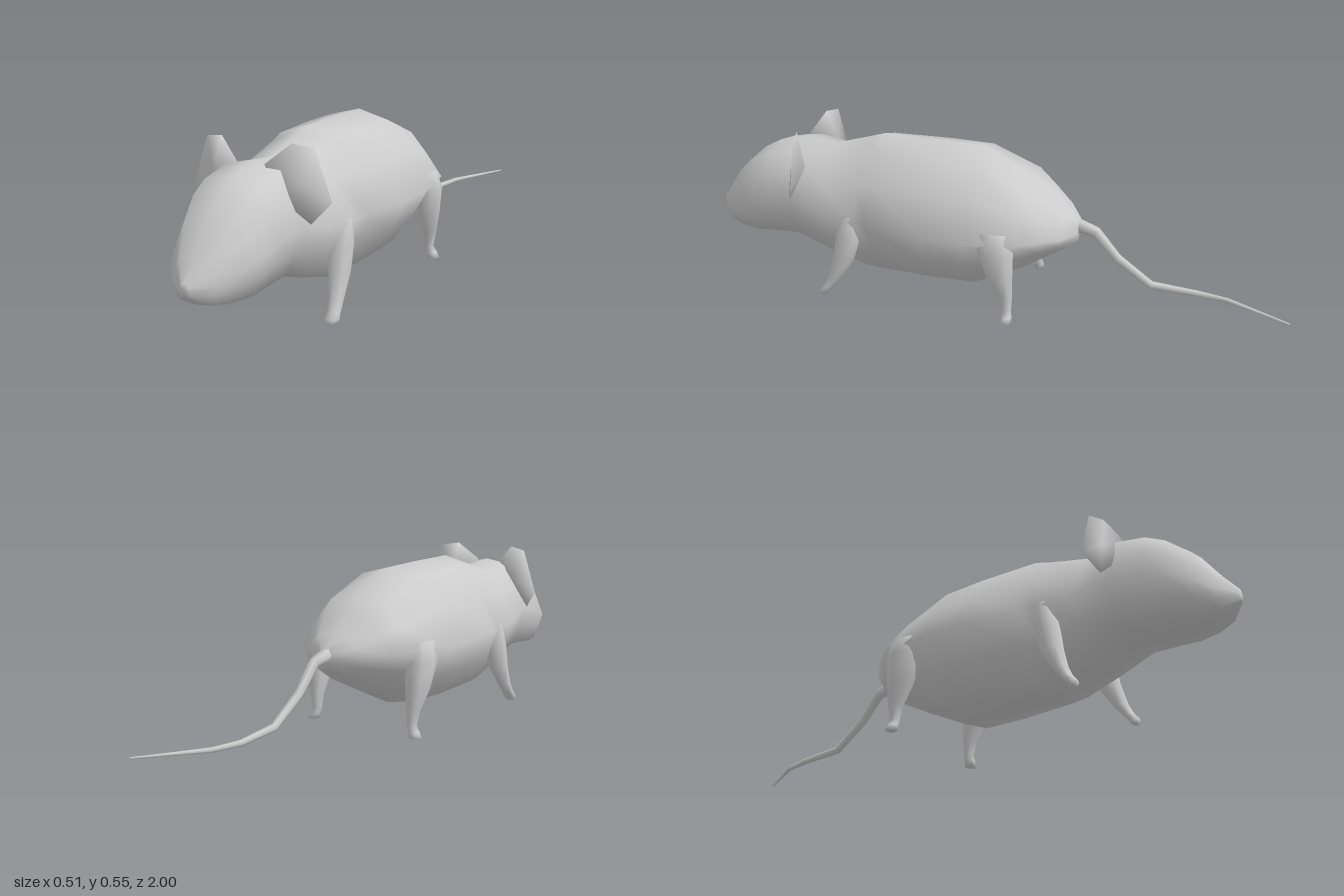
import * as THREE from 'three';

const material = new THREE.MeshStandardMaterial({ color: 0xcccccc, side: THREE.DoubleSide });

// Skins a list of rings (each an array of [x, y, z]) and closes both ends.
function loft(name, rings) {
  const n = rings[0].length;
  const pos = rings.flat();
  const index = [];
  for (let i = 0; i < rings.length - 1; i++) {
    for (let j = 0; j < n; j++) {
      const a = i * n + j, b = i * n + (j + 1) % n;
      index.push(a, a + n, b, b, a + n, b + n);
    }
  }
  for (const [r, flip] of [[0, false], [rings.length - 1, true]]) {
    const c = pos.length;
    pos.push([0, 1, 2].map((k) => rings[r].reduce((s, p) => s + p[k], 0) / n));
    for (let j = 0; j < n; j++) {
      const a = r * n + j, b = r * n + (j + 1) % n;
      index.push(c, flip ? b : a, flip ? a : b);
    }
  }
  return makeMesh(name, pos, index);
}

function makeMesh(name, pos, index) {
  const g = new THREE.BufferGeometry();
  g.setAttribute('position', new THREE.Float32BufferAttribute(pos.flat(), 3));
  g.setIndex(index);
  g.computeVertexNormals();
  const mesh = new THREE.Mesh(g, material);
  mesh.name = name;
  return mesh;
}

// Cross-section of head or body: bw and tw set how wide belly and back are.
function bodyRing([z, bot, top, w, bw, tw]) {
  const h = top - bot;
  const half = [
    [bw * w, bot + 0.05 * h],
    [(0.55 + 0.45 * bw) * w, bot + 0.25 * h],
    [w, bot + 0.47 * h],
    [(0.5 + 0.5 * tw) * w, bot + 0.72 * h],
    [tw * w, bot + 0.94 * h],
  ];
  return [
    [0, bot, z], ...half.map(([x, y]) => [x, y, z]),
    [0, top, z], ...half.reverse().map(([x, y]) => [-x, y, z]),
  ];
}

// Leg from horizontal oval rings: [x, y, z, rx, rz], top to bottom.
function leg(name, side, stations) {
  const n = 8;
  return loft(name, stations.map(([x, y, z, rx, rz]) =>
    Array.from({ length: n }, (_, j) => {
      const t = (j / n) * Math.PI * 2;
      return [side * x + rx * Math.cos(t), y, z - rz * Math.sin(t)];
    })));
}

// Cupped ear: a rim joined to a hollow front and a domed back.
function ear(side) {
  const rim = [
    [0.18, 0.335, 0.65], [0.23, 0.395, 0.618], [0.178, 0.545, 0.622],
    [0.115, 0.555, 0.638], [0.045, 0.495, 0.67], [0.11, 0.40, 0.68],
  ];
  const pos = [...rim, [0.145, 0.45, 0.645], [0.14, 0.44, 0.605]]
    .map(([x, y, z]) => [side * x, y, z]);
  const index = [];
  for (let i = 0; i < 6; i++) {
    const a = i, b = (i + 1) % 6;
    if (side > 0) index.push(6, a, b, 7, b, a);
    else index.push(6, b, a, 7, a, b);
  }
  return makeMesh(side > 0 ? 'leftEar' : 'rightEar', pos, index);
}

// Tapered tail with rings square to its path: [x, y, z, radius].
function tail() {
  const path = [
    [0, 0.295, -0.28, 0.026], [0, 0.275, -0.36, 0.018], [0, 0.19, -0.435, 0.015],
    [0, 0.11, -0.55, 0.013], [-0.008, 0.098, -0.70, 0.010],
    [0.012, 0.098, -0.80, 0.008], [0.122, 0.103, -1, 0.003],
  ];
  const p = path.map((s) => new THREE.Vector3(...s.slice(0, 3)));
  return loft('tail', path.map((s, i) => {
    const dir = p[Math.min(i + 1, p.length - 1)].clone().sub(p[Math.max(i - 1, 0)]).normalize();
    const right = new THREE.Vector3(0, 1, 0).cross(dir).negate().normalize();
    const up = dir.clone().negate().cross(right);
    return Array.from({ length: 6 }, (_, j) => {
      const t = (j / 6) * Math.PI * 2;
      return p[i].clone().addScaledVector(right, s[3] * Math.cos(t))
        .addScaledVector(up, s[3] * Math.sin(t)).toArray();
    });
  }));
}

export function createModel() {
  const model = new THREE.Group();

  // Head and body in one skin, nose to rump: z, bottom, top, half width, belly, back
  const sections = [
    [0.995, 0.205, 0.245, 0.018, 0.6, 0.5],
    [0.95, 0.172, 0.30, 0.075, 0.7, 0.6],
    [0.89, 0.16, 0.385, 0.117, 0.7, 0.6],
    [0.82, 0.157, 0.445, 0.143, 0.7, 0.62],
    [0.76, 0.162, 0.477, 0.15, 0.7, 0.62],
    [0.66, 0.168, 0.50, 0.163, 0.68, 0.55],
    [0.55, 0.122, 0.487, 0.18, 0.6, 0.45],
    [0.42, 0.075, 0.525, 0.197, 0.55, 0.42],
    [0.37, 0.068, 0.54, 0.208, 0.52, 0.42],
    [0.17, 0.066, 0.537, 0.245, 0.48, 0.42],
    [0.02, 0.07, 0.532, 0.249, 0.48, 0.42],
    [-0.14, 0.152, 0.452, 0.228, 0.5, 0.5],
    [-0.20, 0.185, 0.405, 0.18, 0.5, 0.5],
    [-0.265, 0.222, 0.348, 0.115, 0.55, 0.55],
    [-0.305, 0.242, 0.315, 0.03, 0.6, 0.6],
  ];
  model.add(loft('body', sections.map(bodyRing)));
  model.add(tail());

  for (const side of [1, -1]) {
    const label = side > 0 ? 'left' : 'right';
    model.add(ear(side));
    model.add(leg(label + 'FrontLeg', side, [
      [0.165, 0.30, 0.44, 0.03, 0.03],
      [0.165, 0.22, 0.45, 0.04, 0.043],
      [0.17, 0.14, 0.468, 0.034, 0.038],
      [0.177, 0.07, 0.50, 0.024, 0.024],
      [0.18, 0.035, 0.523, 0.022, 0.018],
      [0.181, 0.018, 0.537, 0.025, 0.018],
      [0.18, 0.002, 0.542, 0.017, 0.012],
    ]));
    model.add(leg(label + 'HindLeg', side, [
      [0.205, 0.32, -0.07, 0.03, 0.05],
      [0.205, 0.26, -0.075, 0.05, 0.062],
      [0.203, 0.17, -0.09, 0.04, 0.045],
      [0.2, 0.10, -0.11, 0.025, 0.024],
      [0.197, 0.05, -0.114, 0.016, 0.016],
      [0.206, 0.03, -0.116, 0.02, 0.018],
      [0.213, 0.013, -0.116, 0.022, 0.02],
    ]));
  }
  return model;
}
